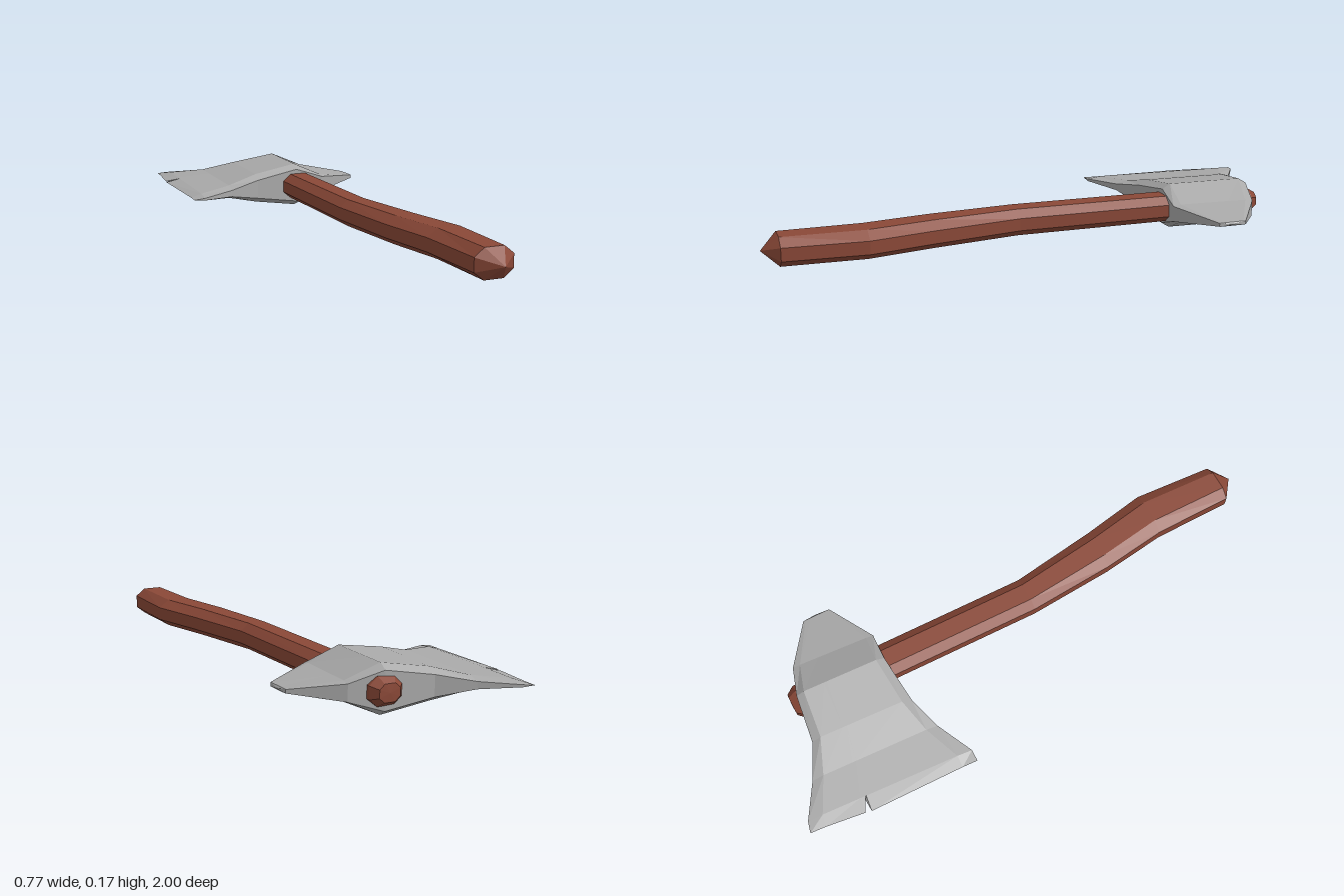
import * as THREE from 'three';

const MID_Y = 0.087;

// Skins a list of rings (arrays of [x, y, z]) with flat faces; optional end caps
function loft(rings, capStart, capEnd) {
  const pos = [];
  const tri = (a, b, c) => pos.push(...a, ...b, ...c);
  const n = rings[0].length;
  for (let k = 0; k < rings.length - 1; k++) {
    const a = rings[k], b = rings[k + 1];
    for (let i = 0; i < n; i++) {
      const j = (i + 1) % n;
      tri(a[i], a[j], b[j]);
      tri(a[i], b[j], b[i]);
    }
  }
  const cap = (ring, tip, flip) => {
    for (let i = 0; i < n; i++) {
      const p = ring[i], q = ring[(i + 1) % n];
      if (flip) tri(q, p, tip); else tri(p, q, tip);
    }
  };
  if (capStart) cap(rings[0], capStart, true);
  if (capEnd) cap(rings[rings.length - 1], capEnd, false);
  const geo = new THREE.BufferGeometry();
  geo.setAttribute('position', new THREE.Float32BufferAttribute(pos, 3));
  geo.computeVertexNormals();
  return geo;
}

// Wooden shaft: octagonal sections running from the head to the grip
function handleGeometry() {
  const stations = [ // z, left x, right x, half height
    [-0.86, 0.072, 0.148, 0.03],
    [-0.83, 0.045, 0.167, 0.048],
    [-0.5, 0.03, 0.16, 0.048],
    [0.08, 0.012, 0.142, 0.049],
    [0.4, 0.03, 0.184, 0.051],
    [0.64, 0.06, 0.225, 0.052],
    [0.935, 0.06, 0.203, 0.052],
  ];
  const octagon = [[1, -0.46], [1, 0.46], [0.5, 1], [-0.5, 1],
    [-1, 0.46], [-1, -0.46], [-0.5, -1], [0.5, -1]];
  const rings = stations.map(([z, x0, x1, h]) => octagon.map(([u, v]) =>
    [(x0 + x1) / 2 + u * (x1 - x0) / 2, MID_Y + v * h, z]));
  return loft(rings, [0.11, MID_Y, -0.862], [0.135, MID_Y, 0.995]);
}

// Head: bevelled sections running from the cutting edge to the poll
function headGeometry() {
  const across = [0, 0.09, 0.317, 0.348, 0.352, 0.91, 1];
  const edgeX = [-0.34, -0.345, -0.366, -0.325, -0.371, -0.383, -0.387];
  const stations = [ // back x, front x, back z, front z, half thickness, rim share
    [-0.30, -0.345, -0.99, -0.37, 0.012, 0.35],
    [-0.18, -0.21, -0.915, -0.437, 0.025, 0.5],
    [-0.06, -0.085, -0.855, -0.477, 0.056, 0.65],
    [0.11, 0.09, -0.832, -0.495, 0.084, 0.78],
    [0.225, 0.20, -0.80, -0.49, 0.034, 0.85],
    [0.38, 0.378, -0.69, -0.587, 0.007, 0.9],
  ];
  const section = (xAt, z0, z1, h, rim) => {
    const side = (s) => across.map((t, i) => [
      xAt(t, i),
      MID_Y + s * h * (i === 0 || i === across.length - 1 ? rim : 1),
      z0 + (z1 - z0) * t,
    ]);
    return [...side(1), ...side(-1).reverse()];
  };
  // Sharp edge with its small notch
  const rings = [section((t, i) => edgeX[i], -1, -0.37, 0, 1)];
  for (const [xb, xf, z0, z1, h, rim] of stations) {
    rings.push(section((t) => xb + (xf - xb) * t, z0, z1, h, rim));
  }
  return loft(rings, null, [0.385, MID_Y, -0.64]);
}

export function createModel() {
  const wood = new THREE.MeshStandardMaterial({ color: 0x8a4837 });
  wood.name = 'reddish wood';
  const steel = new THREE.MeshStandardMaterial({ color: 0xa9a9a9 });
  steel.name = 'grey steel';

  const model = new THREE.Group();
  model.name = 'axe';
  const add = (name, geometry, material) => {
    const mesh = new THREE.Mesh(geometry, material);
    mesh.name = name;
    model.add(mesh);
  };
  add('handle', handleGeometry(), wood);
  add('axeHead', headGeometry(), steel);
  return model;
}
